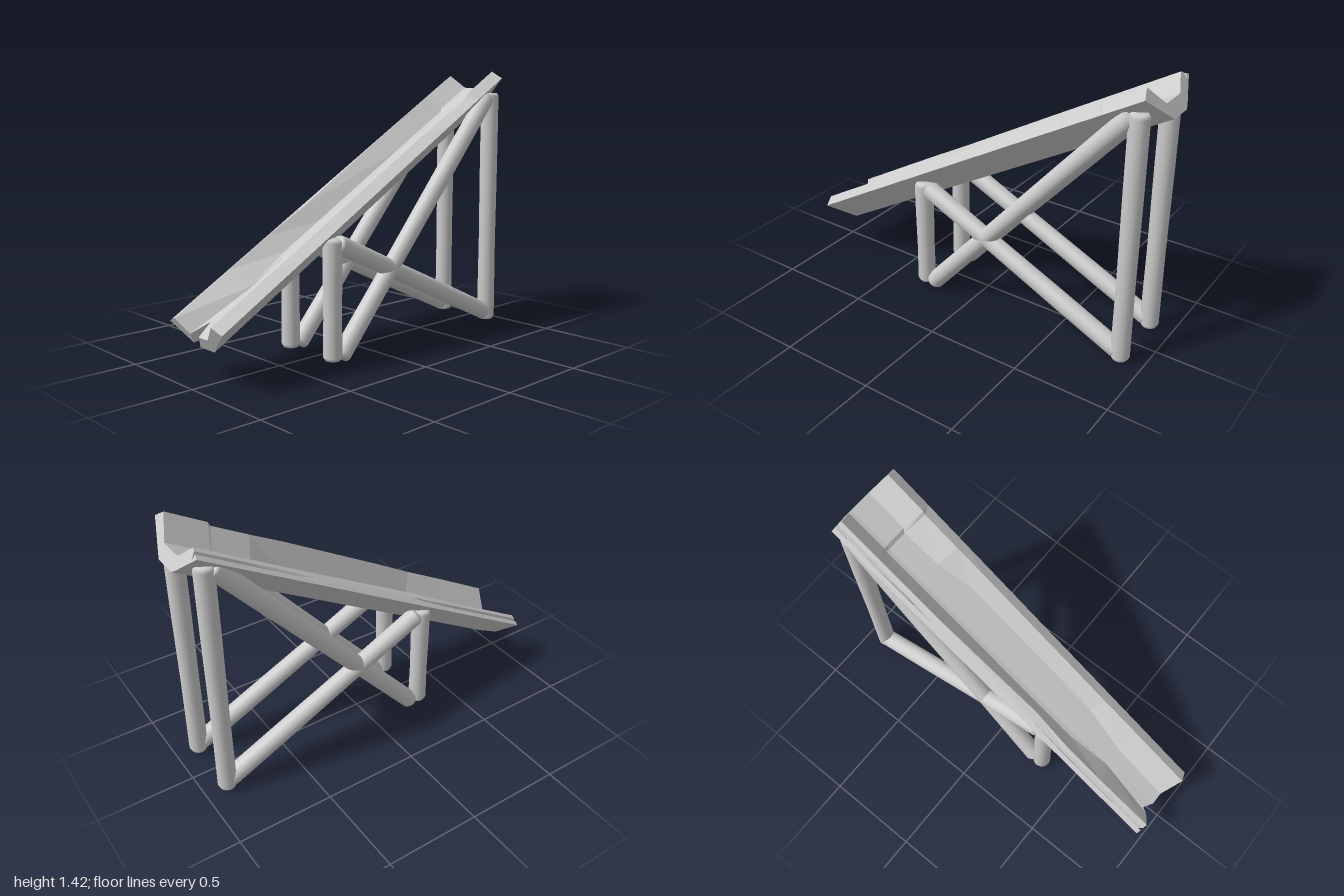
import * as THREE from 'three';

const X = 0.16; // half spacing of the two trestles

// Round log with slightly worn ends, between two points given as [z, y]
function log(name, x, a, b, r = 0.048) {
  const p = new THREE.Vector3(x, a[1], a[0]);
  const q = new THREE.Vector3(x, b[1], b[0]);
  const L = p.distanceTo(q);
  const profile = [
    [0, 0], [r * 0.8, 0], [r, 0.018], [r * 0.95, L * 0.35],
    [r, L * 0.7], [r, L - 0.018], [r * 0.8, L], [0, L],
  ].map(([u, v]) => new THREE.Vector2(u, v));
  const mesh = new THREE.Mesh(
    new THREE.LatheGeometry(profile, 20),
    new THREE.MeshStandardMaterial({ color: 0xcccccc }),
  );
  mesh.name = name;
  mesh.position.copy(p);
  mesh.quaternion.setFromUnitVectors(new THREE.Vector3(0, 1, 0), q.sub(p).normalize());
  return mesh;
}

// Hollowed split log: cross-sections lofted up a 30 degree slope
function trough() {
  const at = (x, h, s) => new THREE.Vector3(x, 0.17 + 0.5 * s + 0.866 * h, 0.91 - 0.866 * s + 0.5 * h);

  // s: distance up the slope, groove: depth of the crack in the left rim,
  // rimX: left inner rim, a b c: floor points, d: right foot of the floor,
  // floor, rim: heights, notch: how far the split at the lower end is pushed back
  const stations = [
    { s: 0,    groove: 0.035, rimX: -0.15,  a: -0.085, b: -0.05,  c: -0.02,  d: 0.05, floor: 0.072, rim: 0.175, notch: 0.1 },
    { s: 0.36, groove: 0.03,  rimX: -0.155, a: -0.05,  b: -0.047, c: -0.03,  d: 0.06, floor: 0.066, rim: 0.175 },
    { s: 0.63, groove: 0.02,  rimX: -0.155, a: -0.08,  b: -0.06,  c: -0.03,  d: 0.1,  floor: 0.066, rim: 0.172 },
    { s: 0.88, groove: 0,     rimX: -0.14,  a: -0.08,  b: -0.06,  c: -0.03,  d: 0.1,  floor: 0.066, rim: 0.175 },
    { s: 1.53, groove: 0,     rimX: -0.155, a: -0.08,  b: -0.06,  c: -0.03,  d: 0.1,  floor: 0.066, rim: 0.175 },
    { s: 1.73, groove: 0.01,  rimX: -0.155, a: -0.08,  b: -0.06,  c: -0.03,  d: 0.06, floor: 0.066, rim: 0.17 },
    { s: 1.95, groove: 0.03,  rimX: -0.155, a: -0.08,  b: -0.06,  c: -0.03,  d: 0.05, floor: 0.064, rim: 0.168 },
    { s: 1.97, groove: 0.03,  rimX: -0.155, a: -0.08,  b: -0.06,  c: -0.03,  d: 0.06, floor: 0.076, rim: 0.182 },
    { s: 2.2,  groove: 0.035, rimX: -0.155, a: -0.08,  b: -0.06,  c: -0.03,  d: 0.06, floor: 0.076, rim: 0.182 },
  ];
  const top = [], bottom = [];
  for (const k of stations) {
    const split = k.s + (k.notch || 0);
    top.push([
      at(-0.213, 0.125, k.s), at(-0.19, 0.138, k.s), at(-0.182, 0.142 - k.groove, k.s),
      at(-0.174, 0.146, k.s), at(k.rimX, 0.155, k.s), at(k.a, k.floor + 0.004, k.s),
      at(k.b, k.floor, split), at(k.c, k.floor, k.s), at(k.d, k.floor, k.s),
      at(0.155, k.rim, k.s), at(0.21, 0.14, k.s),
    ]);
    bottom.push([
      at(-0.213, 0.125, k.s), at(-0.19, 0.103, k.s), at(-0.182, 0.096, k.s),
      at(-0.174, 0.088, k.s), at(-0.14, 0.056, k.s), at(-0.1, 0.018, k.s),
      at(-0.075, 0, split), at(-0.06, 0, k.s), at(0.05, 0, k.s),
      at(0.155, 0.092, k.s), at(0.21, 0.14, k.s),
    ]);
  }

  const pos = [];
  const quad = (a, b, c, d) => [a, b, c, a, c, d].forEach((v) => pos.push(v.x, v.y, v.z));
  const last = stations.length - 1;
  for (let i = 0; i < top[0].length - 1; i++) {
    for (let j = 0; j < last; j++) {
      quad(top[j][i], top[j][i + 1], top[j + 1][i + 1], top[j + 1][i]);
      quad(bottom[j][i], bottom[j + 1][i], bottom[j + 1][i + 1], bottom[j][i + 1]);
    }
    // end faces
    quad(top[0][i], bottom[0][i], bottom[0][i + 1], top[0][i + 1]);
    quad(top[last][i], top[last][i + 1], bottom[last][i + 1], bottom[last][i]);
  }
  const geo = new THREE.BufferGeometry();
  geo.setAttribute('position', new THREE.Float32BufferAttribute(pos, 3));
  geo.computeVertexNormals();
  const mesh = new THREE.Mesh(geo, new THREE.MeshStandardMaterial({ color: 0xcccccc, flatShading: true }));
  mesh.name = 'trough';
  return mesh;
}

export function createModel() {
  const model = new THREE.Group();
  model.name = 'woodenChute';
  model.add(trough());

  // One trestle under each edge: two posts and two crossing braces
  for (const side of [1, -1]) {
    const trestle = new THREE.Group();
    trestle.name = side > 0 ? 'leftTrestle' : 'rightTrestle';
    trestle.add(
      log('frontPost', side * X, [0.298, 0.028], [0.298, 0.625]),
      log('rearPost', side * X, [-0.885, 0.025], [-0.885, 1.31]),
      log('risingBrace', side * X, [0.25, 0.032], [-0.855, 1.29]),
      log('fallingBrace', side * X, [0.27, 0.6], [-0.875, 0.065]),
    );
    model.add(trestle);
  }
  return model;
}
